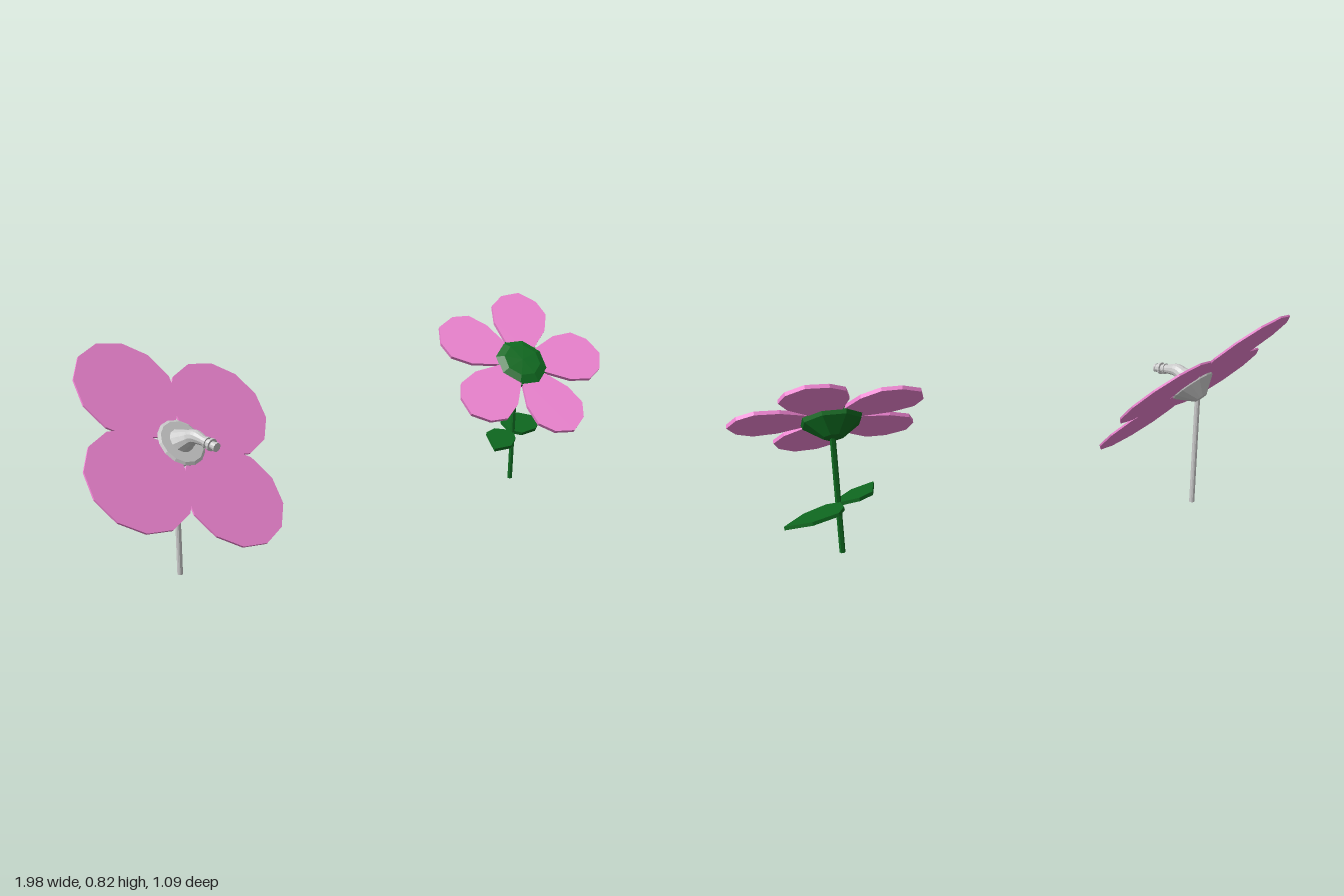
import * as THREE from 'three';

const mat = (color) => new THREE.MeshStandardMaterial({ color, flatShading: true });
const V = (x, y, z) => new THREE.Vector3(x, y, z);

function add(parent, name, geometry, material) {
  const mesh = new THREE.Mesh(geometry, material);
  mesh.name = name;
  parent.add(mesh);
  return mesh;
}

// Flat plate from an outline, centred on its own plane
function plate(points, depth) {
  const shape = new THREE.Shape(points.map(([x, y]) => new THREE.Vector2(x, y)));
  return new THREE.ExtrudeGeometry(shape, { depth, bevelEnabled: false }).translate(0, 0, -depth / 2);
}

// Lathe whose axis is the local z axis
function latheZ(profile, sides) {
  const pts = profile.map(([r, h]) => new THREE.Vector2(r, h));
  return new THREE.LatheGeometry(pts, sides).rotateX(Math.PI / 2);
}

// Group whose local z is the direction a flower head faces and local x stays level with the model
function head(name, position, normal) {
  const n = normal.clone().normalize();
  const e1 = V(1, 0, 0).addScaledVector(n, -n.x).normalize();
  const e2 = n.clone().cross(e1);
  const group = new THREE.Group();
  group.name = name;
  group.quaternion.setFromRotationMatrix(new THREE.Matrix4().makeBasis(e1, e2, n));
  group.position.copy(position);
  return group;
}

// Ring of identical petals, slightly layered
function petals(parent, outline, count, startDegrees, depth, material) {
  for (let i = 0; i < count; i++) {
    const petal = add(parent, 'petal' + (i + 1), plate(outline, depth), material);
    petal.rotation.z = THREE.MathUtils.degToRad(startDegrees) + (i * 2 * Math.PI) / count;
    petal.position.z = (i % 3) * 0.0015;
  }
}

// Straight round bar between two points
function bar(a, b, radius, sides) {
  const dir = b.clone().sub(a);
  const geo = new THREE.CylinderGeometry(radius, radius, dir.length(), sides);
  geo.applyQuaternion(new THREE.Quaternion().setFromUnitVectors(V(0, 1, 0), dir.clone().normalize()));
  const mid = a.clone().add(b).multiplyScalar(0.5);
  return geo.translate(mid.x, mid.y, mid.z);
}

// Tube along a curve whose radius follows a list of values
function taperedTube(curve, radii, segments, sides) {
  const geo = new THREE.TubeGeometry(curve, segments, 1, sides);
  const pos = geo.attributes.position;
  const p = new THREE.Vector3();
  for (let i = 0; i < pos.count; i++) {
    const u = Math.floor(i / (sides + 1)) / segments;
    const f = u * (radii.length - 1);
    const k = Math.min(Math.floor(f), radii.length - 2);
    const r = THREE.MathUtils.lerp(radii[k], radii[k + 1], f - k);
    const c = curve.getPointAt(u);
    p.fromBufferAttribute(pos, i).sub(c).multiplyScalar(r).add(c);
    pos.setXYZ(i, p.x, p.y, p.z);
  }
  geo.computeVertexNormals();
  return geo;
}

function spoutFlower(pink, grey) {
  const group = new THREE.Group();
  group.name = 'spoutFlower';
  const x = -0.57;
  add(group, 'stem', bar(V(x, 0, -0.278), V(x, 0.46, -0.278), 0.01, 10), grey);

  // Four round petals around a grey cup
  const bloom = head('bloom', V(x, 0.4775, -0.25), V(0, 0.69, 0.72));
  group.add(bloom);
  const outline = [];
  for (let i = 0; i < 12; i++) {
    const a = ((i + 0.5) * Math.PI) / 6;
    outline.push([0.25 + 0.194 * Math.cos(a), 0.194 * Math.sin(a)]);
  }
  petals(bloom, outline, 4, 19, 0.007, pink);
  add(bloom, 'cup', latheZ([[0, -0.062], [0.025, -0.06], [0.085, -0.008], [0.09, 0.006], [0.08, 0.012], [0, 0.012]], 14), grey);

  // Bent spout with a ringed tip
  const path = new THREE.CatmullRomCurve3([
    V(x, 0.478, -0.255), V(x, 0.5, -0.215), V(x, 0.515, -0.18), V(x, 0.509, -0.14), V(x, 0.498, -0.078),
  ]);
  add(group, 'spout', taperedTube(path, [0.05, 0.038, 0.027, 0.023, 0.017, 0.014, 0.014], 18, 12), grey);
  const tipDir = path.getTangentAt(1);
  const tip = path.getPointAt(1);
  [[0, 0.008, 0.016], [0.022, 0.009, 0.022], [0.042, 0.008, 0.02]].forEach(([back, length, r], i) => {
    const a = tip.clone().addScaledVector(tipDir, -back);
    add(group, 'tipRing' + (i + 1), bar(a.clone().addScaledVector(tipDir, -length), a, r, 12), grey);
  });
  return group;
}

function leafyFlower(pink, green) {
  const group = new THREE.Group();
  group.name = 'leafyFlower';
  add(group, 'stem', bar(V(0.72, 0.125, 0.228), V(0.718, 0.56, 0.238), 0.01, 6), green);

  // Five angular petals around a domed green centre with a cone below
  const bloom = head('bloom', V(0.69, 0.598, 0.275), V(-0.36, 0.74, 0.565));
  group.add(bloom);
  const side = [[0.05, 0.04], [0.17, 0.1], [0.25, 0.108], [0.305, 0.07]];
  const outline = [...side.map(([r, w]) => [r, -w]), [0.335, 0], ...side.map(([r, w]) => [r, w]).reverse()];
  petals(bloom, outline, 5, 49, 0.013, pink);
  add(bloom, 'centre', latheZ([[0, -0.075], [0.035, -0.068], [0.1, -0.02], [0.108, 0.004], [0.07, 0.022], [0, 0.026]], 8), green);

  // Two leaves, both rising toward the back
  const leaves = {
    leftLeaf: [[0, 0.008], [0.03, -0.03], [0.12, -0.035], [0.23, 0.01], [0.17, 0.085], [0.08, 0.108], [0.03, 0.07]],
    rightLeaf: [[0, 0.01], [-0.05, 0.05], [-0.11, 0.045], [-0.195, -0.055], [-0.11, -0.072], [-0.04, -0.045], [0, -0.008]],
  };
  for (const [name, points] of Object.entries(leaves)) {
    const leaf = add(group, name, plate(points, 0.012), green);
    leaf.position.set(0.72, 0.31, 0.228);
    leaf.rotation.x = -Math.PI / 2 + 0.27;
  }
  return group;
}

export function createModel() {
  const model = new THREE.Group();
  model.name = 'flowers';
  const pink = mat(0xf085d3);
  model.add(spoutFlower(pink, mat(0xcccccc)), leafyFlower(pink, mat(0x0f6a20)));
  return model;
}
